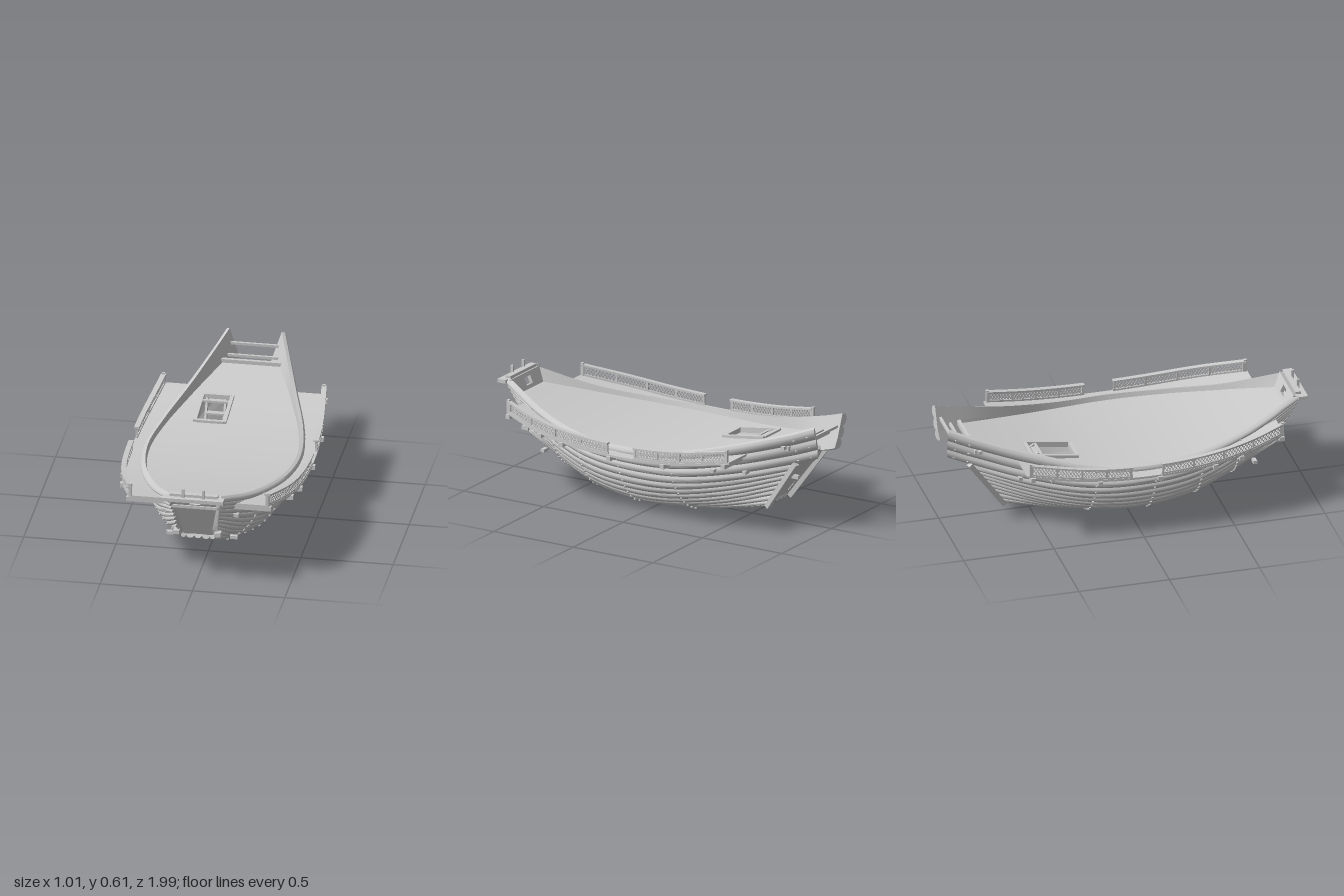
import * as THREE from 'three';
import { mergeGeometries, toCreasedNormals } from 'three/addons/utils/BufferGeometryUtils.js';

const V = (x, y, z) => new THREE.Vector3(x, y, z);
const mat = new THREE.MeshStandardMaterial({ color: 0xcccccc, side: THREE.DoubleSide });

// Smooth interpolation through unevenly spaced knots
function curve(k, v, t) {
  const n = k.length;
  let i = 0;
  while (i < n - 2 && t > k[i + 1]) i++;
  const d = j => (v[j + 1] - v[j]) / (k[j + 1] - k[j]);
  const slope = j => (j === 0 ? d(0) : j === n - 1 ? d(n - 2) : (v[j + 1] - v[j - 1]) / (k[j + 1] - k[j - 1]));
  const h = k[i + 1] - k[i], u = (t - k[i]) / h, u2 = u * u, u3 = u2 * u;
  return (2 * u3 - 3 * u2 + 1) * v[i] + (u3 - 2 * u2 + u) * h * slope(i)
    + (3 * u2 - 2 * u3) * v[i + 1] + (u3 - u2) * h * slope(i + 1);
}

// Hull lines from keel to sheer: girth w, stern z, bow z, then x and y at each station
const S = [-0.4, 0, 1, 2, 3, 4, 5, 6];
const half = [
  [0, -.66, .83, [0, 0, 0, 0, 0, 0, 0, 0], [.125, .10, .043, .012, .006, .033, .115, .235]],
  [2.5, -.66, .83, [.095, .10, .112, .115, .115, .11, .10, .095], [.125, .10, .045, .014, .008, .036, .118, .24]],
  [5.5, -.735, .866, [.085, .115, .19, .235, .25, .235, .185, .11], [.24, .2, .12, .07, .055, .09, .18, .32]],
  [8.5, -.81, .90, [.09, .13, .24, .32, .345, .32, .24, .12], [.34, .30, .22, .17, .16, .185, .265, .40]],
  [10.5, -.86, .925, [.105, .14, .27, .36, .39, .36, .265, .13], [.41, .37, .30, .255, .25, .27, .34, .45]],
  [13.5, -.87, .965, [.165, .205, .30, .39, .43, .39, .28, .145], [.595, .55, .465, .40, .38, .39, .435, .53]],
];
const mirrored = half.slice(1).reverse().map(([w, a, b, x, y]) => [-w, a, b, x.map(v => -v), y]);
const lines = [...mirrored, ...half];
const W = lines.map(l => l[0]);
function hull(w, s) {
  const at = f => curve(W, lines.map(f), w);
  return V(at(l => curve(S, l[3], s)), at(l => curve(S, l[4], s)), at(l => l[1] + (l[2] - l[1]) * s / 6));
}
function hullNormal(w, s) {
  const e = 0.05;
  const dw = hull(w + e, s).sub(hull(w - e, s)), ds = hull(w, s + e).sub(hull(w, s - e));
  return dw.cross(ds).normalize();
}
const stationAt = (w, z) => {
  const a = curve(W, lines.map(l => l[1]), w), b = curve(W, lines.map(l => l[2]), w);
  return 6 * (z - a) / (b - a);
};
// Half breadth of the hull at a given z and height
function hullX(z, y) {
  let lo = 6, hi = 13.5;
  for (let i = 0; i < 18; i++) {
    const m = (lo + hi) / 2;
    if (hull(m, stationAt(m, z)).y < y) lo = m; else hi = m;
  }
  return hull(lo, stationAt(lo, z)).x;
}
const deckY = z => curve([-.85, -.6, -.3, 0, .3, .6, .93], [.47, .42, .375, .36, .37, .405, .465], z);
const walkX = z => curve([-.63, -.24, .1, .4, .6, .81], [.44, .485, .495, .48, .445, .375], z);

// Closed solid through a row of cross-section rings
function loft(rings) {
  const n = rings[0].length, idx = [], pts = rings.flat();
  for (let i = 0; i < rings.length - 1; i++)
    for (let j = 0; j < n; j++) {
      const a = i * n + j, b = i * n + (j + 1) % n;
      idx.push(a, b, b + n, a, b + n, a + n);
    }
  const e = (rings.length - 1) * n;
  for (let j = 1; j < n - 1; j++) idx.push(0, j + 1, j, e, e + j, e + j + 1);
  let vol = 0;
  for (let i = 0; i < idx.length; i += 3)
    vol += pts[idx[i]].dot(pts[idx[i + 1]].clone().cross(pts[idx[i + 2]]));
  if (vol < 0) idx.reverse();
  const g = new THREE.BufferGeometry().setFromPoints(pts);
  g.setIndex(idx);
  return toCreasedNormals(g, 0.6);
}
// Slab following the sheer between two edges
function slab(z0, z1, xa, xb, lift, t, n = 24) {
  const rings = [];
  for (let i = 0; i <= n; i++) {
    const z = z0 + (z1 - z0) * i / n, y = deckY(z) + lift, a = xa(z), b = xb(z);
    rings.push([V(a, y, z), V(b, y, z), V(b, y - t, z), V(a, y - t, z)]);
  }
  return loft(rings);
}
// Square bar between two points
function bar(a, b, w, h = w) {
  const o = new THREE.Object3D();
  o.position.copy(a).lerp(b, 0.5);
  o.lookAt(b);
  o.updateMatrix();
  return new THREE.BoxGeometry(w, h, a.distanceTo(b)).applyMatrix4(o.matrix);
}
const box = (w, h, d, x, y, z) => new THREE.BoxGeometry(w, h, d).translate(x, y, z);

export function createModel() {
  const ship = new THREE.Group();
  ship.name = 'shipHull';
  const add = (name, ...geos) => {
    const m = new THREE.Mesh(geos.length > 1 ? mergeGeometries(geos) : geos[0], mat);
    m.name = name;
    ship.add(m);
    return m;
  };

  // Rounded hull planks; the top three each side run past the stern
  for (let k = -13; k <= 13; k++) {
    const s0 = Math.abs(k) >= 11 ? -0.4 : 0, rings = [];
    for (let i = 0; i <= 36; i++) {
      const s = s0 + (6 - s0) * i / 36, ring = [];
      for (let j = 0; j <= 6; j++) {
        const w = k - 0.5 + j / 6, out = 0.014 * Math.sqrt(Math.sin(Math.PI * j / 6) + 1e-9) - 0.009;
        ring.push(hull(w, s).addScaledVector(hullNormal(w, s), out));
      }
      for (const w of [k + 0.5, k - 0.5]) ring.push(hull(w, s).addScaledVector(hullNormal(w, s), -0.028));
      rings.push(ring);
    }
    add('hullPlank', loft(rings));
  }

  // Sloping end walls
  const wall = (b, t, h, hole) => {
    const sh = new THREE.Shape([[-b, 0], [b, 0], [t, h], [-t, h]].map(p => new THREE.Vector2(...p)));
    if (hole) sh.holes.push(new THREE.Path([[-.03, .258], [-.03, .302], [.03, .302], [.03, .258]].map(p => new THREE.Vector2(...p))));
    return new THREE.ExtrudeGeometry(sh, { depth: 0.02, bevelEnabled: false });
  };
  add('bowWall', wall(.095, .143, .325, true).rotateX(.415).translate(0, .24, .795));
  add('sternWall', wall(.10, .14, .365).rotateX(-.637).translate(0, .1, -.645));
  add('sternWallBlock', box(.02, .02, .04, 0, .25, -.775));

  // Bow cap and its posts
  add('bowCap', box(.33, .02, .05, 0, .525, .975), box(.26, .015, .03, 0, .542, .955));
  for (const x of [-.055, .055]) add('bowPost', box(.014, .06, .014, x, .555, .975));

  // Deck, left open around the hatch
  const hatch = { x0: -.2, x1: -.06, z0: -.53, z1: -.3 };
  const edge = z => hullX(z, deckY(z)) - 0.01, edgeR = z => -edge(z);
  add('deck',
    slab(-.85, hatch.z0, edgeR, edge, 0, .015), slab(hatch.z1, .93, edgeR, edge, 0, .015, 40),
    slab(hatch.z0, hatch.z1, edgeR, () => hatch.x0, 0, .015, 8),
    slab(hatch.z0, hatch.z1, () => hatch.x1, edge, 0, .015, 8));

  // Hatch frame and ladder
  const hy = z => deckY(z) + .004;
  const corner = (x, z) => V(x, hy(z), z);
  add('hatchFrame',
    ...[hatch.x0 - .01, hatch.x1 + .01].map(x => bar(corner(x, -.545), corner(x, -.285), .02, .018)),
    ...[-.54, -.29].map(z => bar(corner(-.205, z), corner(-.055, z), .02, .018)),
    bar(corner(-.2, -.485), corner(-.06, -.485), .015, .012));
  const rungs = [];
  for (let i = 0; i < 6; i++) rungs.push(box(.1, .01, .03, -.13, .40 - i * .055, -.5 + i * .035));
  add('hatchLadder', ...rungs,
    ...[-.18, -.08].map(x => bar(V(x, .41, -.51), V(x, .09, -.31), .012, .03)));

  // Stern crosspieces
  add('sternDeckBeam', box(.40, .025, .02, 0, .475, -.845));
  add('sternBar', bar(V(-.155, .485, -.90), V(.155, .485, -.90), .014));
  add('sternBar', bar(V(-.14, .53, -.955), V(.14, .53, -.955), .014));

  for (const m of [1, -1]) {
    // Corner timbers of the end walls
    add('sternCorner', bar(V(m * .112, .095, -.668), V(m * .15, .38, -.87), .03, .026));
    add('bowCorner', box(.035, .022, .04, m * .112, .274, .85));

    // Side walkway and the beams under it
    add('walkway', slab(-.63, .81, z => m * edge(z), z => m * walkX(z), 0, .012, 40));
    for (const z of [.795, .55, .4, .09, -.24, -.6]) {
      const a = edge(z) - .01, b = walkX(z) + .012;
      add('walkwayBeam', box(b - a, .024, .026, m * (a + b) / 2, deckY(z) - .02, z));
    }

    // Lattice railings with a gap amidships
    for (const [z0, z1] of [[.1, .80], [-.61, -.06]]) {
      const x = z => m * (walkX(z) - .008), p = (z, h) => V(x(z), deckY(z) + h, z);
      const rail = (name, wide, lift, t) =>
        add(name, slab(z0, z1, z => x(z) - wide, z => x(z) + wide, lift, t));
      rail('railCap', .014, .064, .010);
      rail('railFoot', .006, .010, .010);
      const n = Math.round((z1 - z0) / .018), weave = [], posts = [];
      for (let i = 0; i < n; i++) {
        const a = z0 + (z1 - z0) * i / n, b = Math.min(z1, a + .036);
        weave.push(bar(p(a, .006), p(b, .056), .004), bar(p(a, .056), p(b, .006), .004));
      }
      add('railLattice', ...weave);
      for (let i = 0; i <= 4; i++) {
        const z = z0 + .008 + (z1 - z0 - .016) * i / 4;
        posts.push(box(.012, .068, .012, x(z), deckY(z) + .024, z));
      }
      add('railPosts', ...posts);
      const end = z0 > 0 ? z1 : z0;
      add('railEndPost', box(.016, .08, .016, x(end), deckY(end) + .03, end));
    }

    // Beam ends poking through the hull
    for (const [z, y] of [[.77, .355], [.70, .19], [-.46, .32], [-.62, .32], [-.83, .48]])
      add('beamEnd', box(.04, .018, .022, m * (hullX(z, Math.max(y, .12)) + .005), y, z));

    // Pegs in rows across the planks
    const pegs = [];
    const peg = (w, s) => {
      const c = hull(w, s), n = hullNormal(w, s);
      pegs.push(bar(c.clone(), c.clone().addScaledVector(n, .011), .010));
    };
    for (const z of [.58, .36, .09, -.23]) for (let k = 3; k <= 13; k++) peg(m * k, stationAt(m * k, z));
    for (const z of [-.88, -.95]) for (let k = 11; k <= 13; k++) peg(m * k, stationAt(m * k, z));
    add('hullPegs', ...pegs);
  }
  return ship;
}
